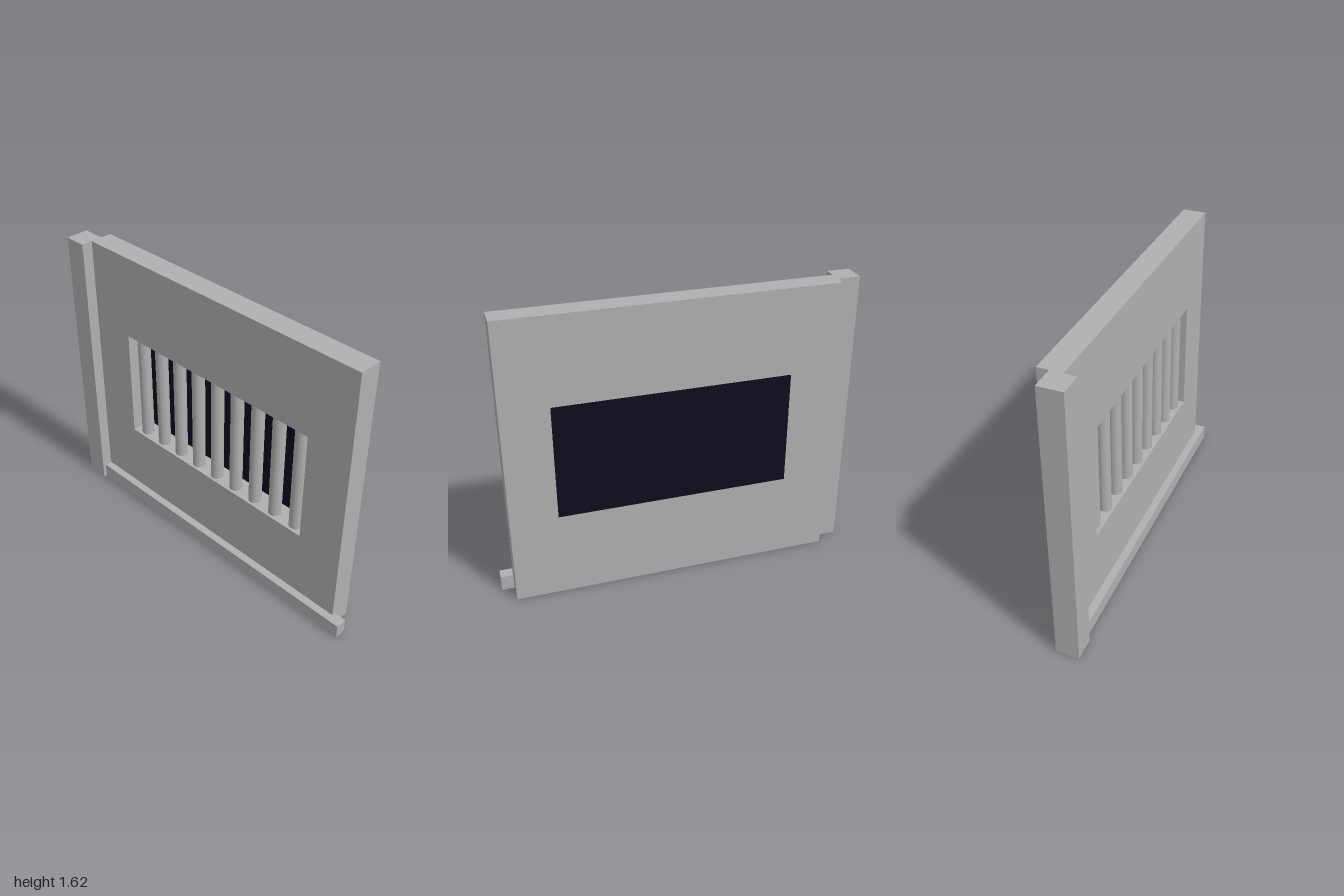
import * as THREE from 'three';

export function createModel() {
  const group = new THREE.Group();
  const stone = new THREE.MeshStandardMaterial({ color: 0xb0b0b0 });
  stone.name = 'grey stone';
  const dark = new THREE.MeshStandardMaterial({ color: 0x0c0c1e });
  dark.name = 'dark navy';

  const add = (name, geometry, material, x = 0, y = 0, z = 0) => {
    const mesh = new THREE.Mesh(geometry, material);
    mesh.name = name;
    mesh.position.set(x, y, z);
    group.add(mesh);
    return mesh;
  };
  // Box given by its extents
  const box = (name, x0, x1, y0, y1, z0, z1, material = stone) =>
    add(name, new THREE.BoxGeometry(x1 - x0, y1 - y0, z1 - z0), material,
      (x0 + x1) / 2, (y0 + y1) / 2, (z0 + z1) / 2);

  const H = 1.615, back = -0.096, front = 0.032;
  const win = { x0: -0.614, x1: 0.674, y0: 0.485, y1: 1.132 };

  // Wall panel with a rectangular window opening
  const rect = (path, x0, x1, y0, y1) => {
    path.moveTo(x0, y0);
    path.lineTo(x1, y0);
    path.lineTo(x1, y1);
    path.lineTo(x0, y1);
    path.closePath();
    return path;
  };
  const outline = rect(new THREE.Shape(), -0.873, 0.932, 0, H);
  outline.holes.push(rect(new THREE.Path(), win.x0, win.x1, win.y0, win.y1));
  add('wall', new THREE.ExtrudeGeometry(outline, { depth: front - back, bevelEnabled: false }),
    stone, 0, 0, back);

  // Corner post and skirting along the foot of the wall
  box('cornerPost', -1, -0.873, 0, H, -0.034, 0.096);
  box('skirting', -0.873, 1, 0, 0.086, 0.011, 0.075);

  // Dark pane closing the back of the opening
  box('windowPane', win.x0, win.x1, win.y0, win.y1, back, back + 0.003, dark);

  // Row of round bars in the opening
  const barGeometry = new THREE.CylinderGeometry(0.036, 0.036, win.y1 - win.y0, 24);
  for (let i = 0; i < 9; i++) {
    add(`bar${i + 1}`, barGeometry, stone, -0.543 + i * 0.1432, (win.y0 + win.y1) / 2, -0.018);
  }
  return group;
}
